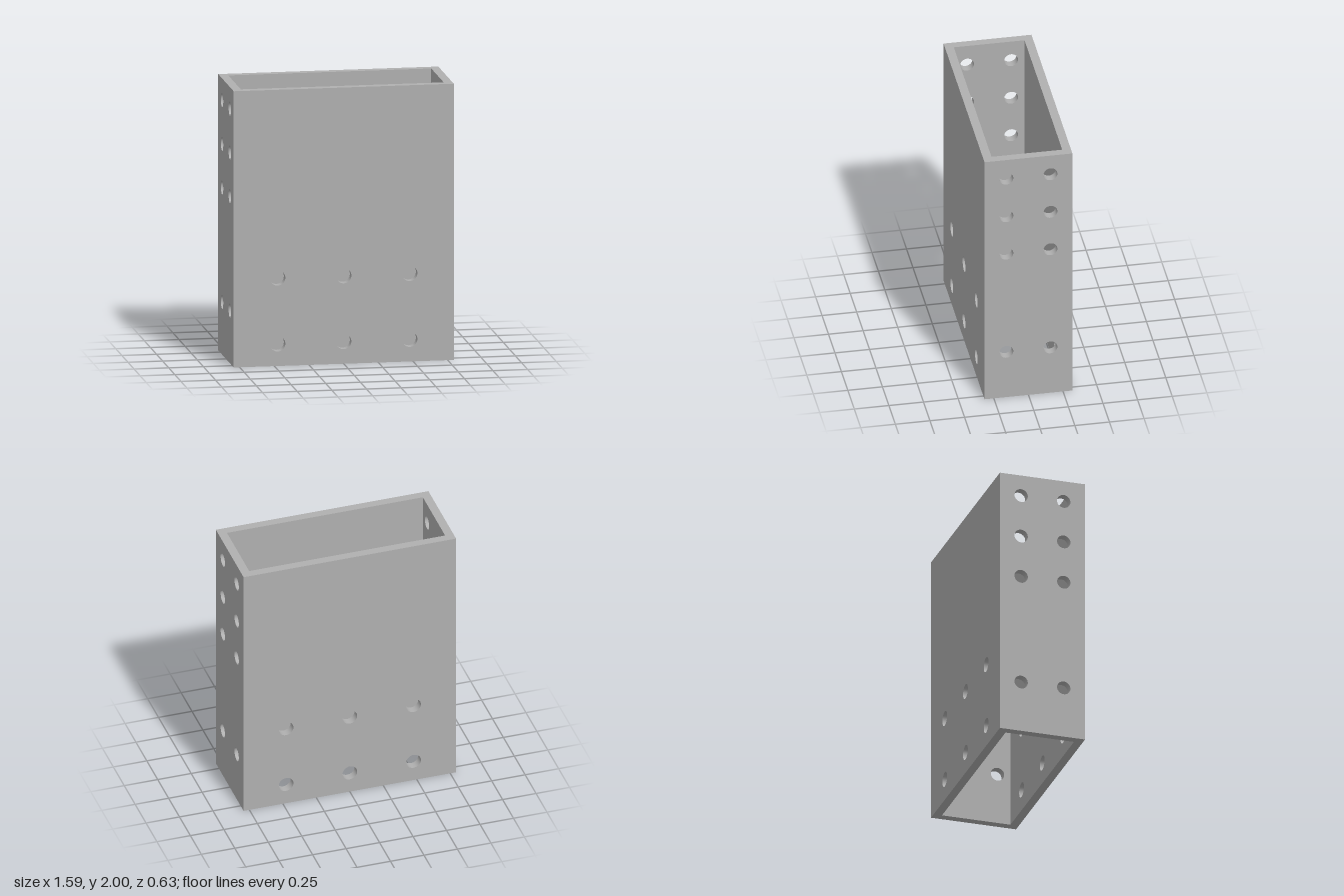
import * as THREE from 'three';
import { mergeGeometries } from 'three/addons/utils/BufferGeometryUtils.js';

const W = 1.587, H = 2, D = 0.635, T = 0.062; // outer size and wall thickness
const SEG = 32;

// Flat rectangle facing +z, pierced by round holes [x, y]
function sheet(width, height, holes, r) {
  const w = width / 2;
  const shape = new THREE.Shape([
    new THREE.Vector2(-w, 0), new THREE.Vector2(w, 0),
    new THREE.Vector2(w, height), new THREE.Vector2(-w, height),
  ]);
  for (const [x, y] of holes) {
    shape.holes.push(new THREE.Path().absarc(x, y, r, 0, Math.PI * 2, true));
  }
  return new THREE.ShapeGeometry(shape, SEG / 2);
}

// Wall with its outer face on z = 0: outer skin, inner skin and hole bores
function wallGeometry(width, holes, r) {
  const outer = sheet(width, H, holes, r);
  const mirrored = holes.map(([x, y]) => [-x, y]);
  const inner = sheet(width - 2 * T, H, mirrored, r).rotateY(Math.PI).translate(0, 0, -T);
  const bores = holes.map(([x, y]) =>
    // profile runs downward so the bore faces inward
    new THREE.LatheGeometry([new THREE.Vector2(r, 0), new THREE.Vector2(r, -T)], SEG)
      .rotateX(Math.PI / 2).translate(x, y, 0));
  return mergeGeometries([outer, inner, ...bores]);
}

// Rectangular rim between outer and inner skins, facing +y
function rimGeometry() {
  const rect = (w, d) => [[-w, -d], [w, -d], [w, d], [-w, d]].map(([x, y]) => new THREE.Vector2(x, y));
  const shape = new THREE.Shape(rect(W / 2, D / 2));
  shape.holes.push(new THREE.Path(rect(W / 2 - T, D / 2 - T)));
  return new THREE.ShapeGeometry(shape).rotateX(-Math.PI / 2);
}

export function createModel() {
  const group = new THREE.Group();
  group.name = 'perforatedSleeve';
  const steel = new THREE.MeshStandardMaterial({ color: 0xb0b0b0 });
  steel.name = 'grey steel';

  const add = (name, geometry) => {
    const mesh = new THREE.Mesh(geometry, steel);
    mesh.name = name;
    group.add(mesh);
    return mesh;
  };

  // Hole patterns
  const broadHoles = [], sideHoles = [];
  for (const y of [0.16, 0.637]) for (const x of [-0.476, 0, 0.476]) broadHoles.push([x, y]);
  for (const y of [0.382, 1.21, 1.526, 1.843]) for (const x of [-0.159, 0.159]) sideHoles.push([x, y]);

  // Broad walls
  const broad = wallGeometry(W, broadHoles, 0.055);
  add('frontWall', broad).position.z = D / 2;
  const back = add('backWall', broad);
  back.position.z = -D / 2;
  back.rotation.y = Math.PI;

  // Narrow side walls
  const side = wallGeometry(D, sideHoles, 0.05);
  for (const s of [1, -1]) {
    const wall = add(s > 0 ? 'leftWall' : 'rightWall', side);
    wall.position.x = s * W / 2;
    wall.rotation.y = s * Math.PI / 2;
  }

  // Open top and bottom rims
  add('topRim', rimGeometry()).position.y = H;
  add('bottomRim', rimGeometry().rotateX(Math.PI));
  return group;
}
